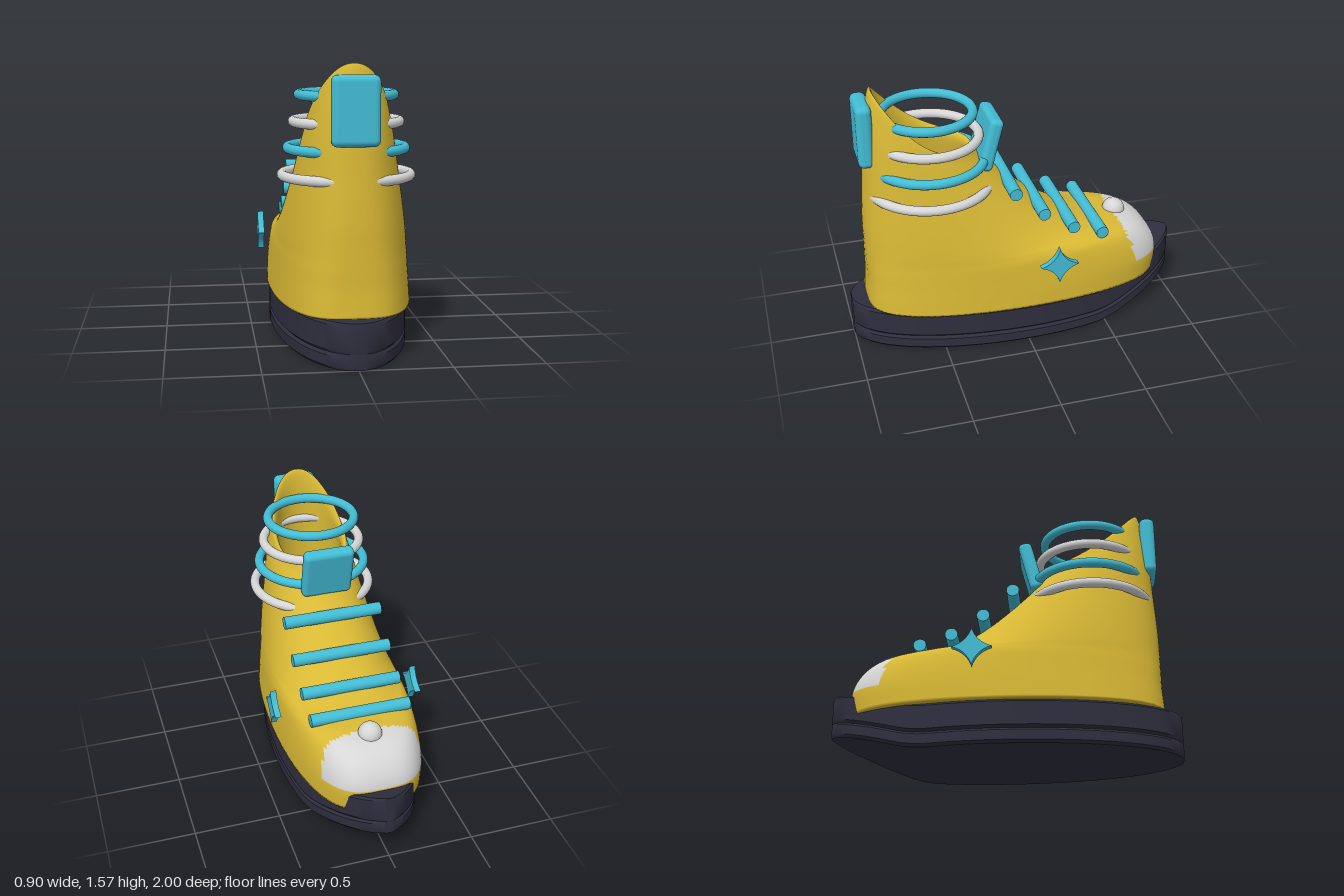
import * as THREE from 'three';
import { toCreasedNormals } from 'three/addons/utils/BufferGeometryUtils.js';
import { RoundedBoxGeometry } from 'three/addons/geometries/RoundedBoxGeometry.js';

const material = (name, color, side = THREE.FrontSide) => {
  const m = new THREE.MeshStandardMaterial({ color, side });
  m.name = name;
  return m;
};

// Skin closed cross-section loops; pick(x, y, z) chooses the material group of each quad
function loft(rows, pick = () => 0) {
  const n = rows[0].length;
  const lists = [[], []];
  for (let i = 0; i < rows.length - 1; i++) {
    for (let j = 0; j < n; j++) {
      const k = (j + 1) % n;
      const a = i * n + j, b = (i + 1) * n + j, c = (i + 1) * n + k, d = i * n + k;
      const mid = [0, 1, 2].map(q =>
        (rows[i][j][q] + rows[i + 1][j][q] + rows[i + 1][k][q] + rows[i][k][q]) / 4);
      lists[pick(...mid)].push(a, b, d, b, c, d);
    }
  }
  const geo = new THREE.BufferGeometry();
  geo.setAttribute('position', new THREE.Float32BufferAttribute(rows.flat(2), 3));
  geo.setIndex([...lists[0], ...lists[1]]);
  geo.addGroup(0, lists[0].length, 0);
  if (lists[1].length) geo.addGroup(lists[0].length, lists[1].length, 1);
  geo.computeVertexNormals();
  return geo;
}

// Upper: tilted loops, each [frontZ, frontY, backZ, backY, halfWidth, squareness]
function upperGeometry() {
  const keys = [
    [-0.87, 0.25, 0.91, 0.25, 0.40, 0.6],
    [-0.885, 0.39, 0.905, 0.32, 0.395, 0.6],
    [-0.84, 0.50, 0.90, 0.40, 0.388, 0.62],
    [-0.75, 0.575, 0.90, 0.49, 0.38, 0.66],
    [-0.62, 0.605, 0.90, 0.55, 0.37, 0.7],
    [-0.46, 0.62, 0.90, 0.62, 0.36, 0.75],
    [-0.29, 0.68, 0.90, 0.72, 0.342, 0.8],
    [-0.11, 0.80, 0.895, 0.84, 0.317, 0.85],
    [0.06, 0.95, 0.885, 1.00, 0.285, 0.9],
    [0.17, 1.06, 0.875, 1.17, 0.26, 0.92],
    [0.23, 1.14, 0.855, 1.38, 0.237, 0.95],
    [0.26, 1.19, 0.815, 1.57, 0.215, 0.95],
    // inner lining
    [0.29, 1.15, 0.785, 1.47, 0.19, 0.95],
    [0.26, 1.00, 0.78, 1.15, 0.21, 0.95],
    [0.16, 0.75, 0.79, 0.75, 0.23, 0.95],
    [0.10, 0.50, 0.79, 0.50, 0.24, 0.95],
  ];
  const front = new THREE.CatmullRomCurve3(keys.map(k => new THREE.Vector3(k[0], k[1], k[4])), false, 'catmullrom');
  const back = new THREE.CatmullRomCurve3(keys.map(k => new THREE.Vector3(k[2], k[3], k[5])), false, 'catmullrom');
  const steps = (keys.length - 1) * 7, cols = 112;
  const rows = [];
  for (let i = 0; i <= steps; i++) {
    const u = i / steps;
    const f = front.getPoint(u), b = back.getPoint(u);
    const bow = 1 + 1.2 * THREE.MathUtils.smoothstep(u * (keys.length - 1), 8, 11);
    const row = [];
    for (let j = 0; j < cols; j++) {
      const a = j / cols * Math.PI * 2;
      const s = Math.sin(a), t = (1 - Math.cos(a)) / 2;
      row.push([
        f.z * Math.sign(s) * Math.abs(s) ** b.z,
        f.y + (b.y - f.y) * t ** bow,
        f.x + (b.x - f.x) * t,
      ]);
    }
    rows.push(row);
  }
  const centre = (y, z) => rows[0].map(() => [0, y, z]);
  const all = [centre(0.25, 0), ...rows, centre(0.5, 0.45)];
  // Toe cap covers the front of the toe above the bumper
  return loft(all, (x, y, z) => (y > 0.385 && z < -0.62 - (0.6 - y) * 0.4 ? 1 : 0));
}

// Sole layer: chamfered box sections along z, curling up at the toe
function soleGeometry(y0, y1) {
  const rise = z => {
    const d = Math.max(0, -0.4 - z);
    return d < 0.2 ? 0.85 * d * d : 0.034 + 0.34 * (d - 0.2);
  };
  const rows = [];
  const steps = 56;
  for (let i = 0; i <= steps; i++) {
    const a = 0.1 + (Math.PI - 0.2) * i / steps;
    const z = -Math.cos(a) / Math.cos(0.1);
    const w = 0.385 * Math.sin(a) ** (z < 0 ? 1.15 : 0.95);
    const c = Math.min(0.015, w / 3);
    const b = y0 + rise(z), t = y1 + rise(z);
    rows.push([[w - c, t, z], [w, t - c, z], [w, b + c, z], [w - c, b, z],
      [c - w, b, z], [-w, b + c, z], [-w, t - c, z], [c - w, t, z]]);
  }
  const cap = row => row.map(p => [0, (row[0][1] + row[3][1]) / 2, p[2]]);
  const geo = loft([cap(rows[0]), ...rows, cap(rows[steps])]);
  return toCreasedNormals(geo, 0.6);
}

// Four-pointed star with hollow sides
function starGeometry() {
  const r = 0.112, q = 0.026;
  const shape = new THREE.Shape();
  shape.moveTo(r, 0);
  for (let i = 0; i < 4; i++) {
    const a = (i + 0.5) * Math.PI / 2, e = (i + 1) * Math.PI / 2;
    shape.quadraticCurveTo(Math.cos(a) * q * 1.4, Math.sin(a) * q * 1.4, Math.cos(e) * r, Math.sin(e) * r);
  }
  const geo = new THREE.ExtrudeGeometry(shape, { depth: 0.036, bevelEnabled: false, curveSegments: 8 });
  return geo.translate(0, 0, -0.018).rotateY(Math.PI / 2);
}

export function createModel() {
  const yellow = material('yellow fabric', 0xd9b935, THREE.DoubleSide);
  const teal = material('teal trim', 0x43bdd5);
  const grey = material('pale grey trim', 0xd6d6d6, THREE.DoubleSide);
  const dark = material('dark rubber', 0x2f2e3e);

  const group = new THREE.Group();
  group.name = 'highTopShoe';
  const add = (name, geo, mat, x = 0, y = 0, z = 0) => {
    const mesh = new THREE.Mesh(geo, mat);
    mesh.name = name;
    mesh.position.set(x, y, z);
    group.add(mesh);
    return mesh;
  };

  add('upperWithToeCap', upperGeometry(), [yellow, grey]);
  add('outsole', soleGeometry(0, 0.086), dark);
  add('midsole', soleGeometry(0.086, 0.25), dark);
  add('toeButton', new THREE.SphereGeometry(0.068, 32, 20), grey, 0, 0.598, -0.64);

  // Lace bars
  [[0.955, 0.06], [0.8, -0.11], [0.685, -0.29], [0.622, -0.468]].forEach(([y, z], i) => {
    const bar = new THREE.CylinderGeometry(0.037, 0.037, 0.59, 24).rotateZ(Math.PI / 2);
    add('laceBar' + (i + 1), bar, teal, 0, y, z);
  });

  // Ankle rings, widening downwards
  [[1.395, 0.258], [1.25, 0.289], [1.107, 0.32], [0.96, 0.351]].forEach(([y, r], i) => {
    const ring = new THREE.TorusGeometry(r, 0.028, 16, 64).rotateX(Math.PI / 2);
    add('ankleRing' + (i + 1), ring, i % 2 ? grey : teal, 0, y, 0.5);
  });

  // Tongue and heel pull tab
  const tongue = add('tongue', new RoundedBoxGeometry(0.3, 0.32, 0.08, 4, 0.03), teal, 0, 1.2, 0.16);
  tongue.rotation.x = -0.25;
  add('heelTab', new RoundedBoxGeometry(0.256, 0.37, 0.09, 4, 0.035), teal, 0, 1.33, 0.864);

  // Side stars
  for (const side of [1, -1]) {
    add(side > 0 ? 'leftStar' : 'rightStar', starGeometry(), teal, side * 0.43, 0.538, -0.16);
  }
  return group;
}
